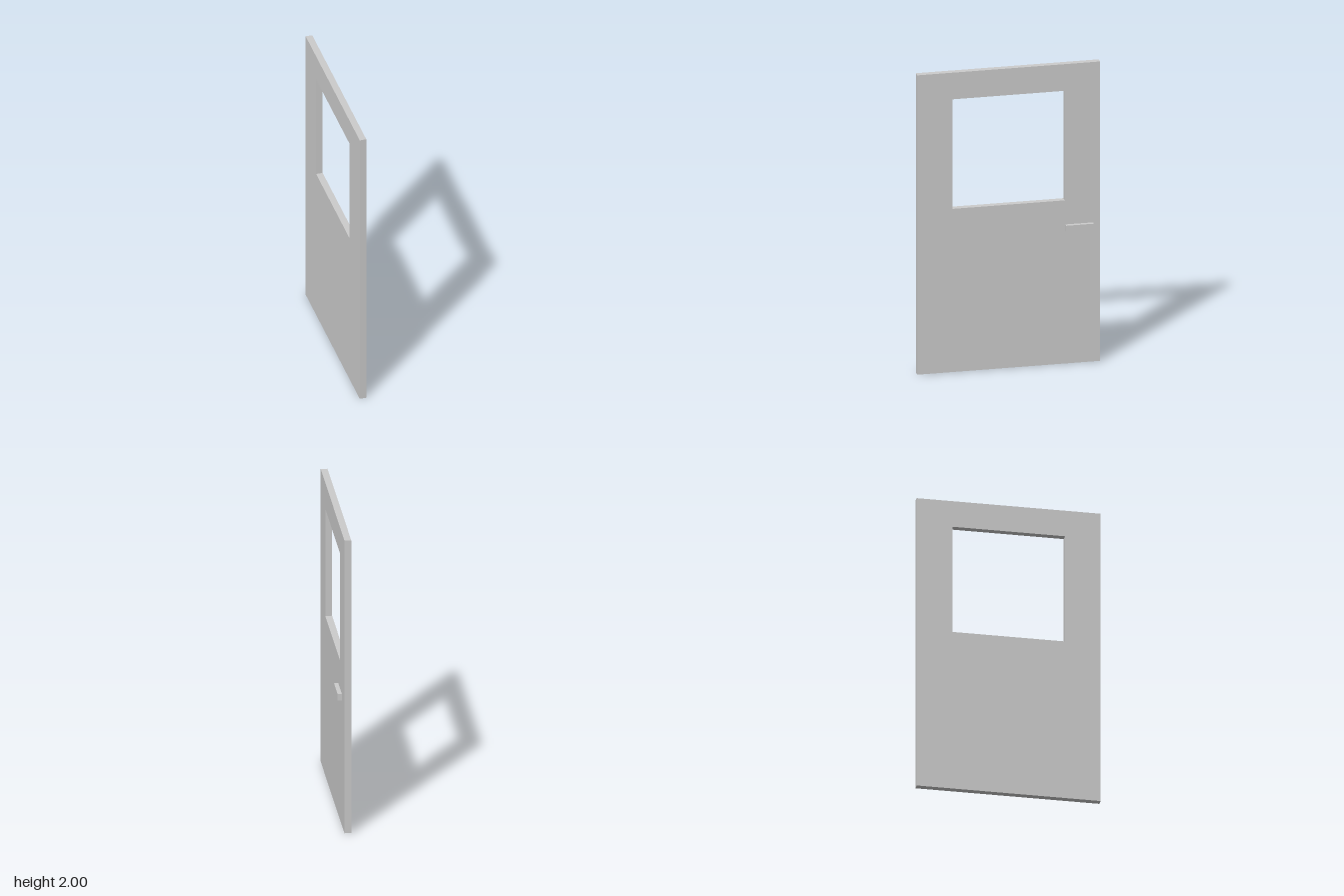
import * as THREE from 'three';

export function createModel() {
  const group = new THREE.Group();
  const material = new THREE.MeshStandardMaterial({ color: 0xcccccc, flatShading: true });

  // Rectangle outline, centred across the door's width
  const rect = (target, halfWidth, bottom, top) => target
    .moveTo(-halfWidth, bottom).lineTo(halfWidth, bottom)
    .lineTo(halfWidth, top).lineTo(-halfWidth, top).closePath();

  // Door leaf with a square window opening, turned to face +x
  const outline = rect(new THREE.Shape(), 0.592, 0, 2);
  outline.holes.push(rect(new THREE.Path(), 0.363, 1.09, 1.822));
  const leafGeometry = new THREE.ExtrudeGeometry(outline, { depth: 0.043, bevelEnabled: false });
  leafGeometry.rotateY(Math.PI / 2);
  const leaf = new THREE.Mesh(leafGeometry, material);
  leaf.name = 'doorLeaf';
  leaf.position.x = -0.04;
  group.add(leaf);

  // Lever handle, standing just clear of the leaf
  const handle = new THREE.Mesh(new THREE.BoxGeometry(0.027, 0.043, 0.181), material);
  handle.name = 'handle';
  handle.position.set(0.0265, 0.911, -0.4535);
  group.add(handle);

  return group;
}
